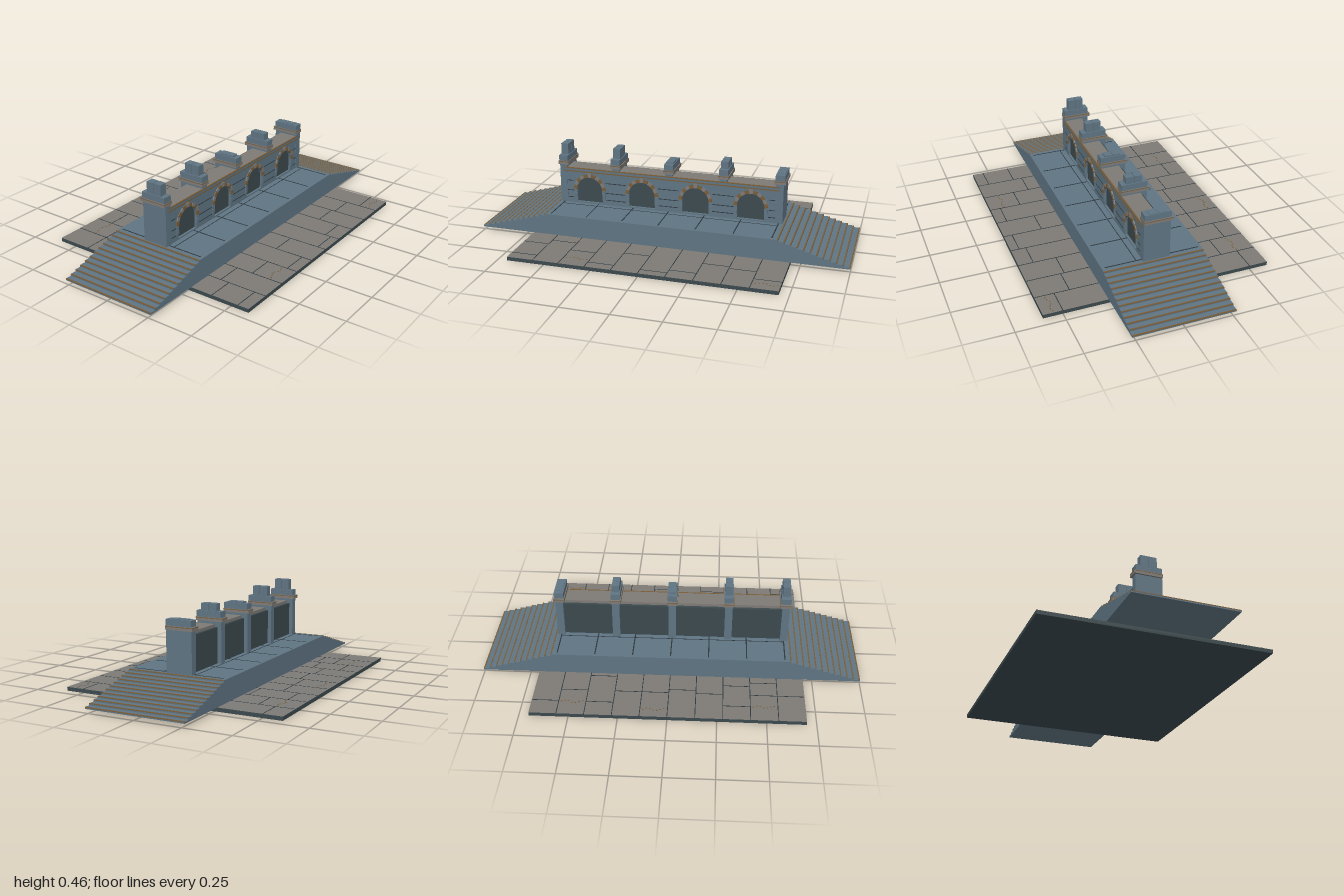
import * as THREE from 'three';

const mat = (name, color) => {
  const m = new THREE.MeshStandardMaterial({ color });
  m.name = name;
  return m;
};

export function createModel() {
  const slate = mat('slate stone', 0x5f7482);
  const grey = mat('warm grey stone', 0x7d7a76);
  const dark = mat('dark stone', 0x3b494d);
  const brown = mat('brown trim', 0x7a5c36);
  const joint = mat('joint', 0x2c373d);

  const root = new THREE.Group();
  root.name = 'arcadePlatform';
  const group = (name) => {
    const g = new THREE.Group();
    g.name = name;
    root.add(g);
    return g;
  };
  // Box given by its limits on each axis
  const box = (parent, name, material, x0, x1, y0, y1, z0, z1) => {
    const m = new THREE.Mesh(new THREE.BoxGeometry(x1 - x0, y1 - y0, z1 - z0), material);
    m.position.set((x0 + x1) / 2, (y0 + y1) / 2, (z0 + z1) / 2);
    m.name = name;
    parent.add(m);
  };
  // Profile drawn in (z, y), extruded from x0 to x1
  const extrudeX = (parent, name, material, shape, x0, x1) => {
    const g = new THREE.ExtrudeGeometry(shape, { depth: x1 - x0, bevelEnabled: false, curveSegments: 14 });
    g.rotateY(-Math.PI / 2).translate(x1, 0, 0);
    const m = new THREE.Mesh(g, material);
    m.name = name;
    parent.add(m);
  };

  // Paved ground slab, dark on the edges and underside
  const ground = group('ground');
  box(ground, 'groundSlab', [dark, dark, grey, dark, dark, dark], -0.6, 0.6, 0, 0.02, -0.7, 0.7);
  const pavingJoints = [
    [-0.5, 0.5], [-0.41, 0.42], [-0.5, -0.29, 0.4], [-0.41, 0.52], [-0.41, 0.555],
    [-0.385, 0.39], [-0.41, 0.545], [-0.5, -0.34, 0.43], [-0.41, -0.31, 0.34], [-0.41, 0.39, 0.54],
  ];
  pavingJoints.forEach((xs, i) => {
    const z = -0.7 + i * 0.14;
    for (const x of xs) box(ground, 'pavingJoint', joint, x - 0.002, x + 0.002, 0.019, 0.0208, z, z + 0.14);
    if (i) for (const x of [-0.6, 0.26]) box(ground, 'pavingJoint', joint, x, x + 0.34, 0.019, 0.0208, z - 0.002, z + 0.002);
  });
  // Short speckled cracks in the paving
  for (const [x, z] of [[-0.505, -0.55], [0.545, -0.69], [-0.545, -0.13], [0.52, 0.29], [-0.5, 0.43]]) {
    for (let i = 0; i < 7; i++) {
      const cx = x + 0.008 * Math.sin(i * 1.3);
      const cz = z + i * 0.018;
      box(ground, 'crackSpeck', brown, cx - 0.003, cx + 0.003, 0.019, 0.0212, cz, cz + 0.008);
    }
  }

  // Raised platform with slab joints
  const floor = 0.135;
  const half = 0.267;
  const platform = group('platform');
  box(platform, 'platformBlock', slate, -half, half, 0.02, floor, -0.6, 0.6);
  for (let i = -3; i <= 3; i++) {
    box(platform, 'slabJoint', joint, -0.25, 0.25, floor - 0.001, floor + 0.001, i * 0.2 - 0.003, i * 0.2 + 0.003);
  }
  for (const x of [-0.095, 0.085]) {
    box(platform, 'slabJoint', joint, x - 0.002, x + 0.002, floor - 0.001, floor + 0.001, -0.6, 0.6);
  }

  // Flight of steps at each end, with thin brown nosings
  const steps = 12;
  const run = 0.4 / steps;
  const rise = (floor - 0.02) / steps;
  for (const side of [0, 1]) {
    const stairs = group(side ? 'backStairs' : 'frontStairs');
    const s = new THREE.Shape();
    s.moveTo(0.6, 0.02);
    for (let i = 0; i < steps; i++) {
      const z = 1 - i * run;
      const y = 0.02 + i * rise;
      s.lineTo(z, y);
      s.lineTo(z, y + rise);
      box(stairs, 'stepNosing', brown, -half, half, y + rise - 0.0035, y + rise + 0.0006, z - 0.006, z + 0.0006);
    }
    s.lineTo(0.6, floor);
    extrudeX(stairs, 'steps', slate, s, -half, half);
    stairs.rotation.y = side * Math.PI;
  }

  // Arcade wall: shallow arched recesses, dark backing and coping
  const wall = group('arcadeWall');
  const arches = [-0.45, -0.15, 0.15, 0.45];
  const radius = 0.073;
  const spring = 0.215;
  const front = new THREE.Shape();
  front.moveTo(-0.6, floor);
  front.lineTo(0.6, floor);
  front.lineTo(0.6, 0.326);
  front.lineTo(-0.6, 0.326);
  for (const z of arches) {
    const hole = new THREE.Path();
    hole.moveTo(z - radius, 0.143);
    hole.lineTo(z - radius, spring);
    hole.absarc(z, spring, radius, Math.PI, 0, true);
    hole.lineTo(z + radius, 0.143);
    hole.closePath();
    front.holes.push(hole);
  }
  extrudeX(wall, 'archedFront', slate, front, 0.035, 0.054);
  box(wall, 'backPanel', dark, -0.065, 0.042, floor, 0.322, -0.6, 0.6);
  box(wall, 'coping', [slate, grey, grey, slate, slate, slate], -0.05, 0.056, 0.32, 0.337, -0.6, 0.6);
  box(wall, 'copingLine', brown, 0.05, 0.0575, 0.315, 0.321, -0.6, 0.6);
  box(wall, 'copingLip', brown, 0.05, 0.0575, 0.333, 0.3375, -0.6, 0.6);

  // Masonry joints between the arches
  for (const y of [0.165, 0.205, 0.262]) {
    for (const [z, w] of [[0, 0.057], [0.3, 0.057], [-0.3, 0.057], [0.572, 0.027], [-0.572, 0.027]]) {
      box(wall, 'masonryJoint', joint, 0.053, 0.055, y - 0.002, y + 0.002, z - w, z + w);
    }
  }

  // Arch stones and jambs
  const stones = 11;
  for (const z of arches) {
    for (let i = 0; i < stones; i++) {
      const a = ((i + 0.5) / stones) * Math.PI;
      const key = i === (stones - 1) / 2 ? 0.006 : 0;
      const r = radius + 0.009 + key / 2;
      const m = new THREE.Mesh(new THREE.BoxGeometry(0.01, 0.018 + key, 0.0215), i % 2 ? grey : brown);
      m.position.set(0.055, spring + r * Math.sin(a), z + r * Math.cos(a));
      m.rotation.x = Math.PI / 2 - a;
      m.name = 'archStone';
      wall.add(m);
    }
    for (const s of [-1, 1]) {
      for (const y of [0.17, 0.193]) {
        const c = z + s * (radius + 0.008);
        box(wall, 'jambStone', slate, 0.05, 0.059, y, y + 0.021, c - 0.008, c + 0.008);
      }
    }
  }

  // Piers with stepped caps and paired crown blocks of differing height
  const tops = [0.405, 0.44, 0.41, 0.456, 0.462];
  tops.forEach((top, i) => {
    const pier = group('pier');
    const z = (i - 2) * 0.3;
    const face = Math.abs(z) > 0.5 ? 0.056 : 0.052;
    box(pier, 'pierShaft', slate, -0.086, face, floor, 0.352, z - 0.02, z + 0.02);
    box(pier, 'capBand', grey, -0.095, 0.056, 0.35, 0.37, z - 0.029, z + 0.029);
    box(pier, 'capLine', brown, -0.0955, 0.0565, 0.364, 0.368, z - 0.0295, z + 0.0295);
    box(pier, 'capBlock', slate, -0.086, 0.054, 0.37, 0.402, z - 0.025, z + 0.025);
    for (const x of [-0.058, -0.013]) {
      box(pier, 'crownBlock', slate, x, x + 0.042, 0.4, top, z - 0.02, z + 0.02);
    }
  });
  return root;
}
